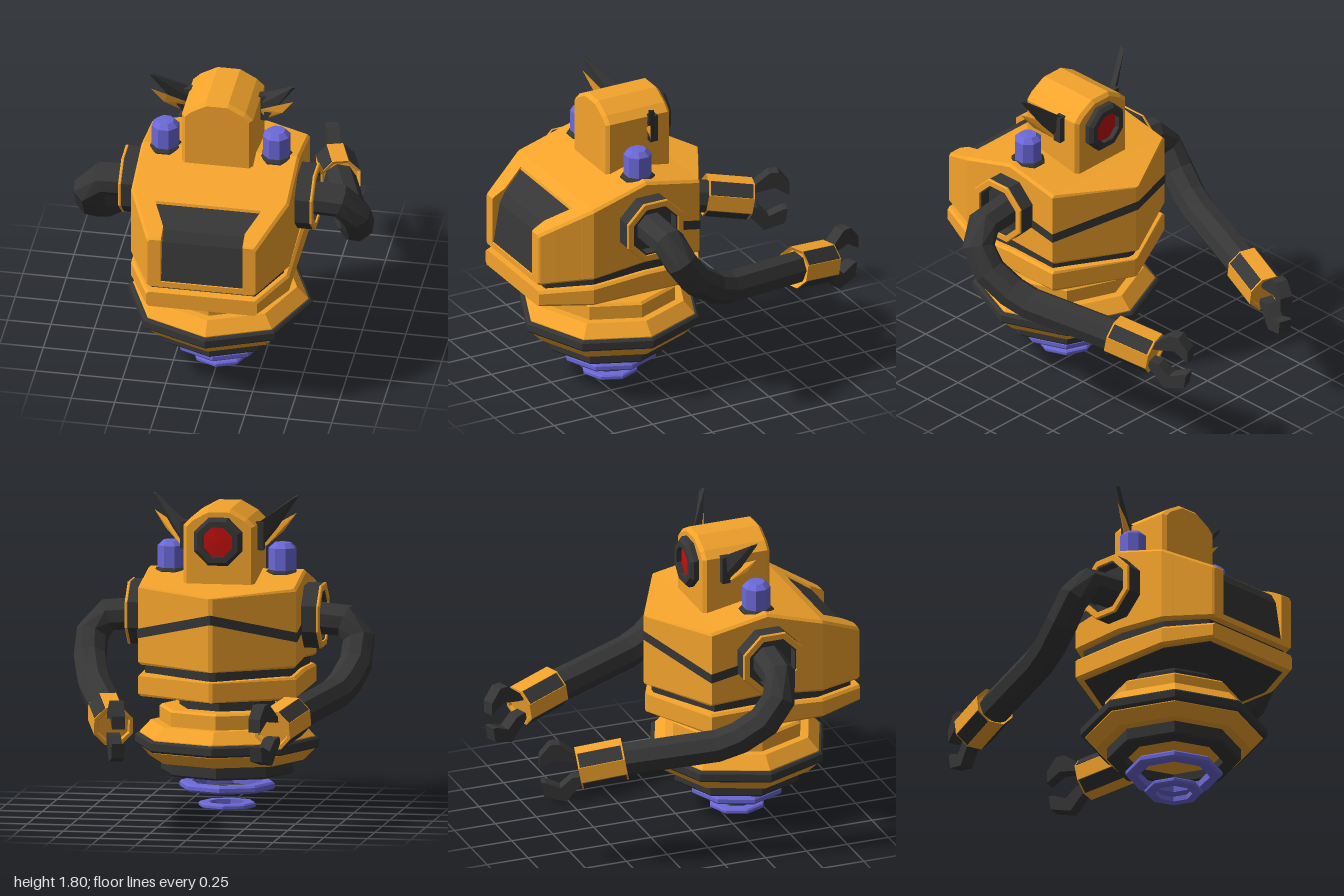
import * as THREE from 'three';
import { ConvexGeometry } from 'three/addons/geometries/ConvexGeometry.js';

const paint = (color) => new THREE.MeshStandardMaterial({ color, flatShading: true, side: THREE.DoubleSide });
const V = (x, y, z) => new THREE.Vector3(x, y, z);
const MID = 0.375; // z of the vertical axis through base, shoulders and lamps

// Triangle list to geometry
function fromTriangles(points) {
  return new THREE.BufferGeometry().setFromPoints(points);
}

// Flat-faced copy, optionally reflected to the other side with its winding restored
function bake(geo, mirrored) {
  const g = geo.index ? geo.toNonIndexed() : geo.clone();
  g.deleteAttribute('uv');
  if (mirrored) {
    const p = g.attributes.position, a = V(), b = V();
    for (let i = 0; i < p.count; i++) p.setX(i, -p.getX(i));
    for (let i = 0; i < p.count; i += 3) {
      a.fromBufferAttribute(p, i + 1);
      b.fromBufferAttribute(p, i + 2);
      p.setXYZ(i + 1, b.x, b.y, b.z);
      p.setXYZ(i + 2, a.x, a.y, a.z);
    }
  }
  g.computeVertexNormals();
  return g;
}

// Skin between closed cross-sections { z, pts } ordered by rising z, with end caps
function loft(sections) {
  const out = [], n = sections[0].pts.length;
  const at = (s, i) => V(s.pts[i % n].x, s.pts[i % n].y, s.z);
  for (let k = 0; k + 1 < sections.length; k++) {
    const a = sections[k], b = sections[k + 1];
    for (let i = 0; i < n; i++) {
      out.push(at(a, i), at(a, i + 1), at(b, i + 1), at(a, i), at(b, i + 1), at(b, i));
    }
  }
  const first = sections[0], last = sections[sections.length - 1];
  for (const [i, j, k] of THREE.ShapeUtils.triangulateShape(first.pts, [])) out.push(at(first, k), at(first, j), at(first, i));
  for (const [i, j, k] of THREE.ShapeUtils.triangulateShape(last.pts, [])) out.push(at(last, i), at(last, j), at(last, k));
  return fromTriangles(out);
}

// Chamfered box section with an optional notch (half width n, floor f) in its top
function section(z, w, top, bottom, n = w * 0.5, f = top) {
  const b = Math.min(0.015, w * 0.4);
  const half = [[w - b, bottom], [w, bottom + b], [w, top - b], [w - b, top], [n, top], [n, f]];
  const pts = half.map(([x, y]) => new THREE.Vector2(x, y));
  for (const [x, y] of [...half].reverse()) pts.push(new THREE.Vector2(-x, y));
  return { z, pts };
}

// Open band between two rails of equal length
function ribbon(a, b) {
  const out = [];
  for (let i = 0; i + 1 < a.length; i++) out.push(a[i], b[i], b[i + 1], a[i], b[i + 1], a[i + 1]);
  return fromTriangles(out);
}

// Eight-sided turned part; profile runs from bottom to top along the outside
function turned(profile, start = 0) {
  return new THREE.LatheGeometry(profile.map(([r, y]) => new THREE.Vector2(r, y)), 8, start);
}
const ring = (inner, outer, y0, y1, c = 0.012) => [[inner, y0], [outer - c, y0], [outer, y0 + c], [outer, y1 - c],
  [outer - c, y1], [inner, y1], [inner, y0]];

// Faceted hose along a bent line
function hose(path, radius, sides = 8) {
  const rings = [];
  path.forEach((p, i) => {
    const t = path[Math.min(i + 1, path.length - 1)].clone().sub(path[Math.max(i - 1, 0)]).normalize();
    const u = V(0, 0, 1).cross(t);
    if (i > 0) u.copy(rings[i - 1].u);
    else u.normalize();
    u.addScaledVector(t, -u.dot(t)).normalize();
    const v = t.clone().cross(u);
    const pts = [];
    for (let k = 0; k <= sides; k++) {
      const a = ((k + 0.5) / sides) * Math.PI * 2;
      pts.push(p.clone().addScaledVector(u, Math.cos(a) * radius).addScaledVector(v, Math.sin(a) * radius));
    }
    rings.push({ u, pts });
  });
  const out = [];
  for (let i = 0; i + 1 < rings.length; i++) {
    const a = rings[i].pts, b = rings[i + 1].pts;
    for (let k = 0; k < sides; k++) out.push(a[k], a[k + 1], b[k + 1], a[k], b[k + 1], b[k]);
  }
  return fromTriangles(out);
}

export function createModel() {
  const model = new THREE.Group();
  const orange = paint(0xf5a42c), dark = paint(0x363636), violet = paint(0x6c69d8), red = paint(0xc01010);
  const add = (name, geo, mat) => {
    const mesh = new THREE.Mesh(bake(geo, false), mat);
    mesh.name = name;
    model.add(mesh);
  };
  const addPair = (name, geo, mat) => {
    add(name + 'Left', geo, mat);
    const mesh = new THREE.Mesh(bake(geo, true), mat);
    mesh.name = name + 'Right';
    model.add(mesh);
  };

  // Torso with a sunken panel at the front
  add('torso', loft([
    section(-0.19, 0.012, 1.27, 0.845), section(0.04, 0.455, 1.305, 0.85), section(0.38, 0.455, 1.37, 0.865),
    section(0.72, 0.455, 1.27, 0.83), section(0.78, 0.425, 1.238, 0.825, 0.305),
    section(0.785, 0.422, 1.235, 0.824, 0.303, 1.215), section(0.92, 0.355, 1.163, 0.81, 0.235, 1.135),
    section(0.95, 0.34, 1.147, 0.806, 0.235, 1.07), section(0.99, 0.32, 1.125, 0.802, 0.235, 0.845),
    section(1, 0.31, 1.115, 0.805, 0.235, 0.84),
  ]), orange);
  const panelRows = [[0.303, 1.222, 0.785], [0.234, 1.142, 0.922], [0.234, 1.08, 0.955], [0.234, 0.842, 0.995]];
  add('frontPanel', ribbon(panelRows.map(([x, y, z]) => V(-x, y, z)), panelRows.map(([x, y, z]) => V(x, y, z)).map((p) => p)), dark);

  // Skirt under the torso, with a dark core showing between and below
  add('waistCore', loft([
    section(-0.14, 0.02, 0.9, 0.662), section(0.07, 0.42, 0.9, 0.662),
    section(0.7, 0.42, 0.88, 0.662), section(0.95, 0.3, 0.85, 0.662),
  ]), dark);
  add('skirt', loft([
    section(-0.18, 0.012, 0.785, 0.67), section(0.04, 0.455, 0.8, 0.67), section(0.38, 0.455, 0.805, 0.67),
    section(0.72, 0.455, 0.785, 0.67), section(1, 0.32, 0.765, 0.67),
  ]), orange);

  // Dark stripe round the rear
  const stripe = [[0, 1.12, -0.198], [0.46, 1.0, 0.036], [0.46, 1.03, 0.2], [0.46, 1.07, 0.32]];
  addPair('rearStripe', ribbon(stripe.map(([x, y, z]) => V(x, y + 0.055, z)), stripe.map(([x, y, z]) => V(x, y, z))), dark);

  // Head with an arched top
  const arch = new THREE.Shape([[-0.185, 1.28], [0.185, 1.28], [0.185, 1.64], [0.15, 1.675], [0.06, 1.725],
    [-0.06, 1.725], [-0.15, 1.675], [-0.185, 1.64]].map(([x, y]) => new THREE.Vector2(x, y)));
  add('head', new THREE.ExtrudeGeometry(arch, { depth: 0.37, bevelThickness: 0.02, bevelSize: 0.02, bevelSegments: 1 })
    .translate(0, 0, 0.11), orange);

  // Eye, facing the rear
  const eyePlace = (g) => g.rotateX(-Math.PI / 2).translate(0, 1.56, 0.1);
  add('eyeRim', eyePlace(turned(ring(0.092, 0.147, -0.02, 0.06, 0.02), Math.PI / 8)), dark);
  add('eyeLens', eyePlace(turned([[0.1, 0], [0.1, 0.03], [0, 0.035]], Math.PI / 8)), red);

  // Antenna blades
  addPair('antennaMount', new THREE.BoxGeometry(0.05, 0.16, 0.05).translate(0.215, 1.58, 0.215), dark);
  addPair('upperBlade', new ConvexGeometry([V(0.2, 1.51, 0.2), V(0.2, 1.65, 0.19), V(0.235, 1.51, 0.25), V(0.22, 1.62, 0.25),
    V(0.3, 1.65, 0.27), V(0.405, 1.8, 0.34), V(0.42, 1.795, 0.33), V(0.4, 1.79, 0.305)]), dark);
  addPair('lowerBlade', new ConvexGeometry([V(0.21, 1.52, 0.23), V(0.21, 1.58, 0.25), V(0.25, 1.52, 0.24),
    V(0.34, 1.6, 0.3), V(0.32, 1.65, 0.3), V(0.41, 1.7, 0.33)]), orange);

  // Shoulder lamps
  const lampPlace = (g) => g.translate(0.32, 0, 0.365);
  addPair('lamp', lampPlace(turned([[0.08, 1.34], [0.08, 1.495], [0.05, 1.523], [0, 1.525]], Math.PI / 8)), violet);
  addPair('lampBase', lampPlace(turned([[0.1, 1.31], [0.1, 1.355], [0.085, 1.37], [0, 1.37]], Math.PI / 8)), dark);

  // Shoulder sockets
  const socketPlace = (g) => g.rotateZ(-Math.PI / 2).translate(0.44, 1.11, MID);
  addPair('socket', socketPlace(turned([[0.192, 0], [0.192, 0.11], [0.145, 0.11], [0.145, 0.05], [0, 0.05]], Math.PI / 8)), dark);
  addPair('socketRing', socketPlace(turned(ring(0.155, 0.195, 0.1, 0.12, 0.006), Math.PI / 8)), orange);

  // Arms reaching to the rear
  addPair('arm', hose([V(0.47, 1.1, 0.37), V(0.685, 1.085, 0.36), V(0.765, 0.985, 0.325), V(0.765, 0.86, 0.235),
    V(0.725, 0.765, 0.1), V(0.69, 0.72, -0.02), V(0.51, 0.645, -0.58)], 0.096), dark);

  // Cuffs: orange shell with dark diagonal panels
  const handPlace = (g) => g.rotateY(0.3).translate(0.495, 0.635, -0.65);
  const cuffPlace = (g) => handPlace(g.rotateX(-Math.PI / 2 - 0.18));
  addPair('cuff', cuffPlace(turned([[0, -0.12], [0.1, -0.12], [0.12, -0.135], [0.12, 0.135], [0.1, 0.135],
    [0.09, 0.12], [0, 0.12]], Math.PI / 8)), orange);
  for (let k = 0; k < 4; k++) {
    addPair('cuffPanel' + (k + 1), cuffPlace(new THREE.BoxGeometry(0.085, 0.25, 0.01).translate(0, 0, 0.109)
      .rotateY(Math.PI / 4 + (k * Math.PI) / 2)), dark);
  }

  // Two hooked fingers per hand
  const finger = (pts) => handPlace(new THREE.ExtrudeGeometry(new THREE.Shape(pts.map(([x, y]) => new THREE.Vector2(x, y))),
    { depth: 0.075, bevelEnabled: false }).rotateY(Math.PI / 2).translate(-0.0375, 0, 0));
  addPair('upperFinger', finger([[0.1, 0.02], [0.16, 0.025], [0.27, 0.045], [0.355, -0.01], [0.355, 0.065],
    [0.295, 0.14], [0.24, 0.14], [0.15, 0.07], [0.1, 0.06]]), dark);
  addPair('lowerFinger', finger([[0.1, -0.1], [0.15, -0.15], [0.205, -0.215], [0.33, -0.18], [0.345, -0.095],
    [0.32, -0.095], [0.235, -0.13], [0.17, -0.07], [0.1, -0.06]]), dark);

  // Hovering base, stacked on one axis
  const base = [
    ['neck', [[0.275, 0.55], [0.275, 0.65], [0.265, 0.67], [0, 0.67]], dark],
    ['collar', [[0.39, 0.46], [0.39, 0.57], [0.375, 0.583], [0, 0.583]], orange],
    ['disc', [[0.3, 0.28], [0.44, 0.28], [0.505, 0.345], [0.505, 0.42], [0.44, 0.49], [0, 0.49]], orange],
    ['discBand', ring(0.48, 0.53, 0.35, 0.415), dark],
    ['lowerRim', ring(0.28, 0.38, 0.2, 0.3), dark],
    ['underside', [[0, 0.25], [0.3, 0.25]], orange],
    ['upperHoverRing', ring(0.205, 0.275, 0.105, 0.15), violet],
    ['lowerHoverRing', ring(0.105, 0.165, 0, 0.03, 0.008), violet],
  ];
  for (const [name, profile, mat] of base) add(name, turned(profile).translate(0, 0, MID), mat);

  return model;
}
